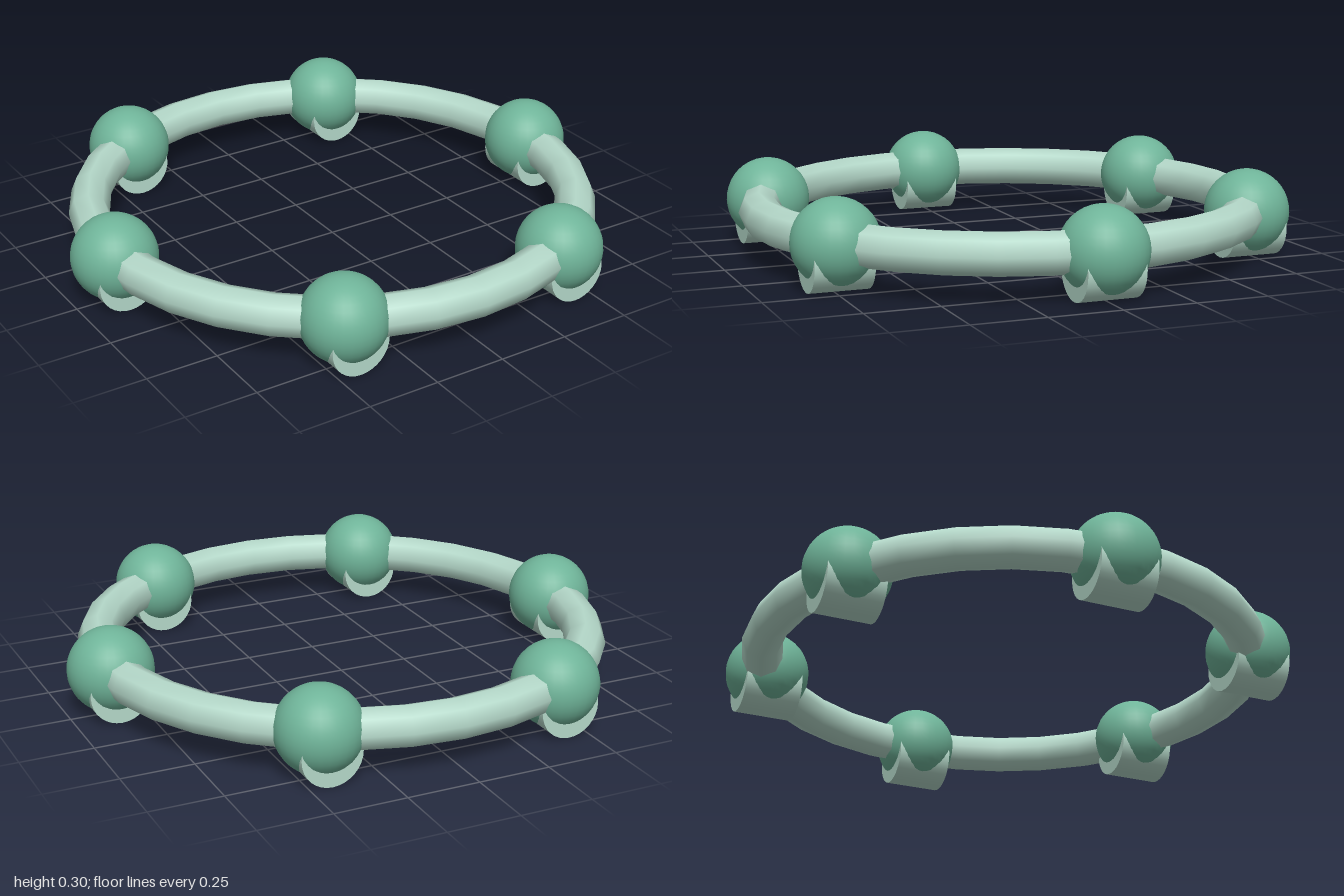
import * as THREE from 'three';

const RING_RADIUS = 0.852;
const BALL_RADIUS = 0.147;
const CENTRE_Y = 0.157;
const FOOT_RADIUS = 0.105;
const FOOT_LENGTH = 0.2;

export function createModel() {
  const group = new THREE.Group();
  const paleGreen = new THREE.MeshStandardMaterial({ name: 'paleGreen', color: 0xb5d9ca });
  const seaGreen = new THREE.MeshStandardMaterial({ name: 'seaGreen', color: 0x6fb499 });

  const add = (name, geometry, material, x, y, z) => {
    const mesh = new THREE.Mesh(geometry, material);
    mesh.name = name;
    mesh.position.set(x, y, z);
    group.add(mesh);
  };

  // Horizontal tube ring
  const ring = new THREE.TorusGeometry(RING_RADIUS, 0.071, 8, 32).rotateX(Math.PI / 2);
  add('ring', ring, paleGreen, 0, CENTRE_Y, 0);

  // Six balls, each resting on a short round foot that runs front to back
  const ball = new THREE.SphereGeometry(BALL_RADIUS, 32, 20);
  const foot = new THREE.CylinderGeometry(FOOT_RADIUS, FOOT_RADIUS, FOOT_LENGTH, 32).rotateX(Math.PI / 2);
  for (let i = 0; i < 6; i++) {
    const angle = (i * Math.PI) / 3;
    const x = RING_RADIUS * Math.cos(angle);
    const z = RING_RADIUS * Math.sin(angle);
    add('ball', ball, seaGreen, x, CENTRE_Y, z);
    add('foot', foot, paleGreen, x, FOOT_RADIUS, z);
  }
  return group;
}
